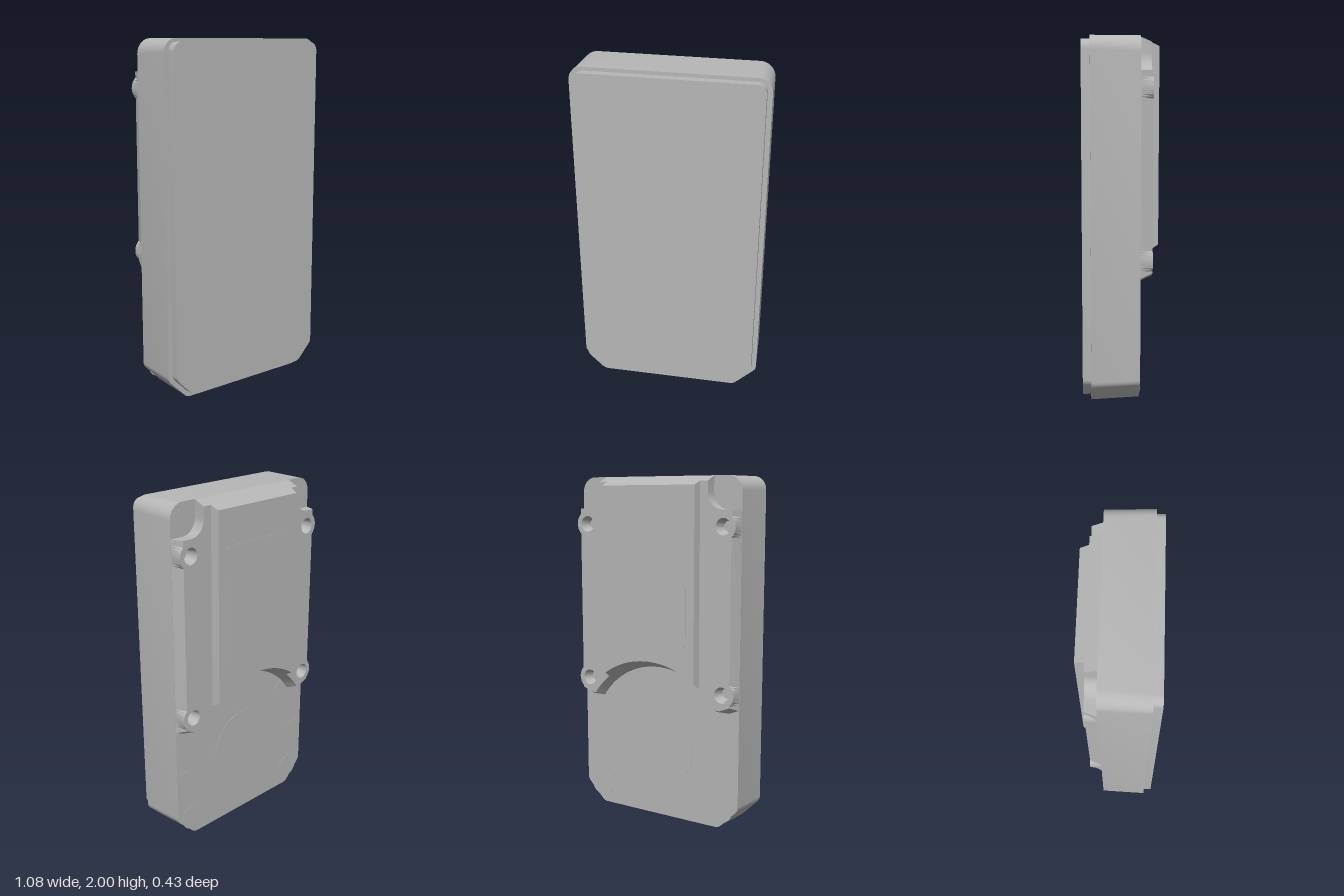
import * as THREE from 'three';
import { toCreasedNormals } from 'three/addons/utils/BufferGeometryUtils.js';

const grey = new THREE.MeshStandardMaterial({ color: 0xb6b6b6 });
grey.name = 'cast grey';

const P = (x, y) => new THREE.Vector2(x, y);

// Points on an arc, angles in degrees
function arc(cx, cy, r, from, to, n) {
  return Array.from({ length: n + 1 }, (_, i) => {
    const a = THREE.MathUtils.degToRad(from + (to - from) * i / n);
    return P(cx + r * Math.cos(a), cy + r * Math.sin(a));
  });
}

// Right half (bottom to top) completed by its mirror image, anticlockwise
const mirrored = half => [...half, ...half.slice().reverse().filter(p => p.x > 1e-6).map(p => P(-p.x, p.y))];

// Solid between a back section and a front section, each { z, rings: [outline, ...holes] }
function loft(back, front, capFront = true) {
  const pos = [];
  const put = (p, z) => pos.push(p.x, p.y, z);
  back.rings.forEach((ring, k) => {
    ring.forEach((a, i) => {
      const j = (i + 1) % ring.length, b = ring[j];
      const c = front.rings[k][i], d = front.rings[k][j];
      put(a, back.z); put(b, back.z); put(d, front.z);
      put(a, back.z); put(d, front.z); put(c, front.z);
    });
  });
  const cap = ({ z, rings }, sign) => {
    const all = rings.flat();
    for (const [a, b, c] of THREE.ShapeUtils.triangulateShape(rings[0], rings.slice(1))) {
      const t = [all[a], all[b], all[c]];
      if (THREE.ShapeUtils.area(t) * sign < 0) t.reverse();
      t.forEach(p => put(p, z));
    }
  };
  cap(back, -1);
  if (capFront) cap(front, 1);
  const g = new THREE.BufferGeometry();
  g.setAttribute('position', new THREE.Float32BufferAttribute(pos, 3));
  g.computeVertexNormals();
  return toCreasedNormals(g, 0.45);
}

// Case outline: cut lower corners, rounded upper corners
function caseOutline(w, bottom, top, cut, r) {
  const s = 0.05, k = s * Math.tan(Math.PI / 8), d = k * Math.SQRT1_2;
  return mirrored([
    ...arc(w - cut - k, bottom + s, s, -90, -45, 4),
    ...arc(w - s, bottom + cut + k, s, -45, 0, 4),
    ...arc(w - r, top - r, r, 0, 90, 8),
  ].map(p => P(Math.max(p.x, d), p.y)));
}

const discY = 0.44;
const screwX = 0.455, screwYs = [0.81, 1.73];

// Raised bracket: arched foot, side tabs with round bosses, notched upper corners
function bracketOutline(r, side, tabY, top, boss) {
  const end = THREE.MathUtils.radToDeg(Math.asin((tabY - discY) / r));
  const half = [
    ...arc(0, discY, r, 90, end, 16),
    P(side - 0.06, tabY), P(side, tabY + 0.025),
  ];
  for (const y of screwYs) {
    for (const p of arc(screwX, y, 0.075, -50, 50, 8)) half.push(P(boss ? Math.max(p.x, side) : side, p.y));
  }
  half.push(P(side, 1.82));
  half.push(...arc(0.45, 1.91, 0.09, -90, -180, 8));
  half.push(P(0.36, top));
  return mirrored(half);
}

// Clockwise rings that become the screw holes
const screwHoles = r => [-1, 1].flatMap(s => screwYs.map(y => arc(s * screwX, y, r, 360, 0, 20).slice(0, -1)));

// Central raised panel with arched lower edge
function panelOutline(r, w, top) {
  const end = THREE.MathUtils.radToDeg(Math.acos(w / r));
  return mirrored([...arc(0, discY, r, 90, end, 12), P(w, top)]);
}

function roundedRect(w, h, r) {
  return new THREE.Shape([
    ...arc(w / 2 - r, -h / 2 + r, r, -90, 0, 4),
    ...arc(w / 2 - r, h / 2 - r, r, 0, 90, 4),
    ...arc(-w / 2 + r, h / 2 - r, r, 90, 180, 4),
    ...arc(-w / 2 + r, -h / 2 + r, r, 180, 270, 4),
  ]);
}

export function createModel() {
  const model = new THREE.Group();
  model.name = 'driveUnit';
  const add = (name, geometry, x = 0, y = 0, z = 0) => {
    const m = new THREE.Mesh(geometry, grey);
    m.name = name;
    m.position.set(x, y, z);
    model.add(m);
    return m;
  };

  // Main case, slightly tapered to the back
  add('case', loft(
    { z: -0.1, rings: [caseOutline(0.532, 0.01, 2.0, 0.125, 0.085)] },
    { z: 0.165, rings: [caseOutline(0.54, 0, 2.0, 0.125, 0.075)] }));

  // Front cover plate
  const cover = caseOutline(0.513, 0.03, 1.98, 0.105, 0.05);
  add('frontCover', loft({ z: 0.165, rings: [cover] }, { z: 0.212, rings: [cover] }));

  // Rear bracket with four countersunk screw holes
  add('rearBracket', loft(
    { z: -0.166, rings: [bracketOutline(0.5, 0.505, 0.72, 1.972, true), ...screwHoles(0.046)] },
    { z: -0.1, rings: [bracketOutline(0.47, 0.53, 0.695, 2.0, true), ...screwHoles(0.03)] }, false));

  // Rear panel
  add('rearPanel', loft(
    { z: -0.213, rings: [panelOutline(0.52, 0.304, 1.95)] },
    { z: -0.166, rings: [panelOutline(0.5, 0.311, 1.972)] }, false));

  // Label plate on the panel
  add('labelPlate', new THREE.ExtrudeGeometry(roundedRect(0.5, 0.69, 0.025),
    { depth: 0.002, bevelEnabled: false }), 0, 1.405, -0.215);

  // Shallow round mark over the disc, and marks near the cut corners
  const disc = (name, r, x, y) => {
    const m = add(name, new THREE.CylinderGeometry(r, r, 0.002, 48), x, y, -0.1005);
    m.rotation.x = Math.PI / 2;
  };
  disc('discMark', 0.235, 0, discY);
  for (const s of [-1, 1]) disc('cornerMark', 0.078, s * 0.42, 0.125);

  // Short radial ticks around the disc
  for (const [deg, from, to] of [[0, 0.4, 0.52], [180, 0.4, 0.52], [45, 0.39, 0.46], [135, 0.39, 0.46], [90, 0.39, 0.46], [270, 0.38, 0.42]]) {
    const a = THREE.MathUtils.degToRad(deg), mid = (from + to) / 2;
    const tick = add('radialTick', new THREE.BoxGeometry(to - from, 0.006, 0.002),
      mid * Math.cos(a), discY + mid * Math.sin(a), -0.1005);
    tick.rotation.z = a;
  }

  return model;
}
